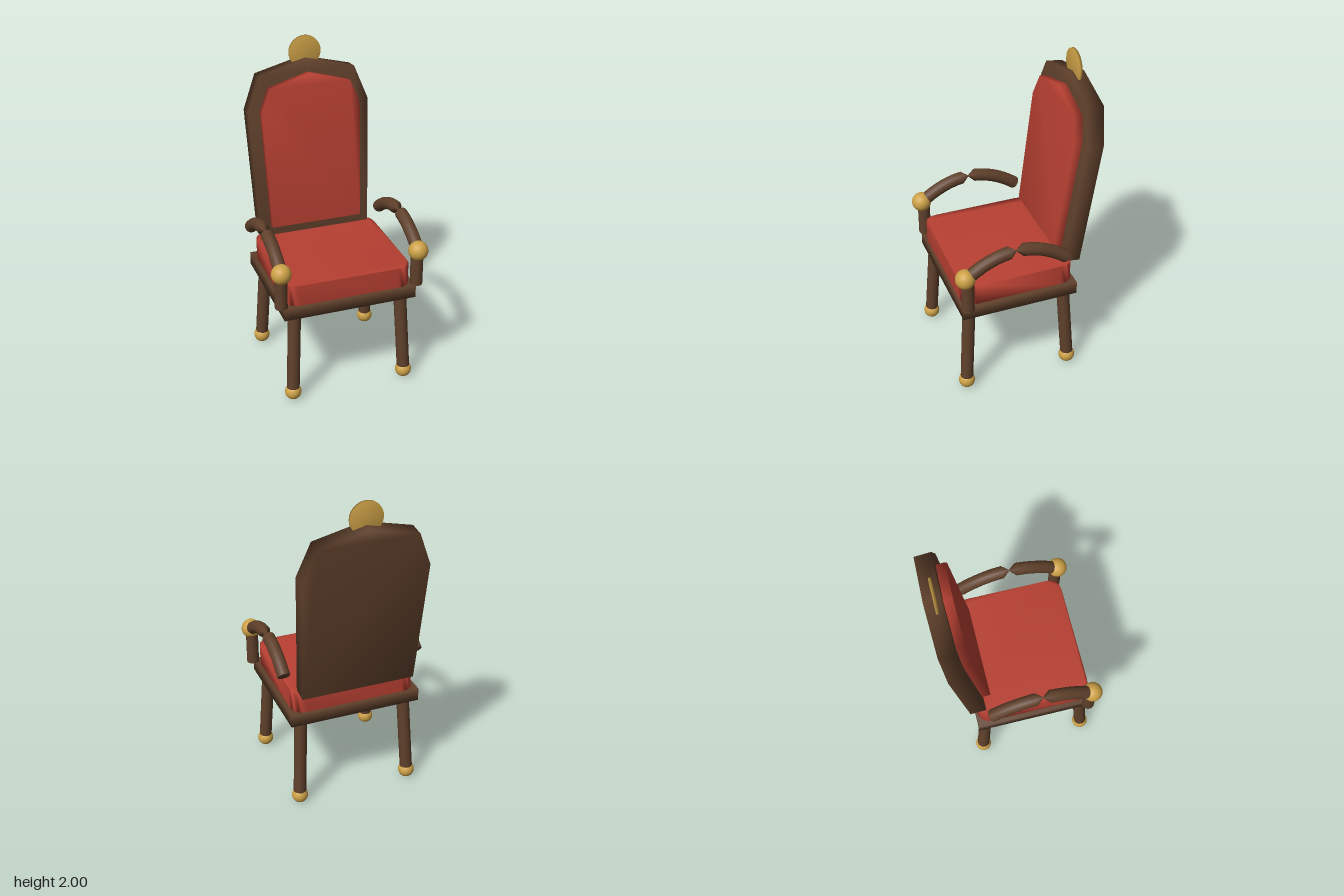
import * as THREE from 'three';
import { mergeVertices } from 'three/addons/utils/BufferGeometryUtils.js';

const wood = new THREE.MeshStandardMaterial({ color: 0x5f402b });
const red = new THREE.MeshStandardMaterial({ color: 0xb84032 });
const gold = new THREE.MeshStandardMaterial({ color: 0xcda147 });

// Shares vertices so the shading runs softly over every edge
function soften(geometry) {
  geometry.deleteAttribute('uv');
  geometry.deleteAttribute('normal');
  const merged = mergeVertices(geometry, 1e-4);
  merged.computeVertexNormals();
  return merged;
}

function add(parent, name, geometry, material, x = 0, y = 0, z = 0) {
  const mesh = new THREE.Mesh(geometry, material);
  mesh.name = name;
  mesh.position.set(x, y, z);
  parent.add(mesh);
  return mesh;
}

// Round bar between two points
function bar(parent, name, a, b, radius) {
  const dir = b.clone().sub(a);
  const mesh = add(parent, name, new THREE.CylinderGeometry(radius, radius, dir.length(), 16), wood);
  mesh.position.copy(a).add(b).multiplyScalar(0.5);
  mesh.quaternion.setFromUnitVectors(new THREE.Vector3(0, 1, 0), dir.normalize());
}

// Symmetric slab from half an outline, listed from bottom to apex
function slab(half, depth) {
  const left = half.filter(([x]) => x > 0).reverse().map(([x, y]) => [-x, y]);
  const shape = new THREE.Shape([...half, ...left].map(([x, y]) => new THREE.Vector2(x, y)));
  return soften(new THREE.ExtrudeGeometry(shape, { depth, bevelEnabled: false }));
}

// Seat pad with rounded corners, lying flat
function padGeometry(w, d, r, height) {
  const s = new THREE.Shape();
  s.moveTo(-w + r, -d);
  s.lineTo(w - r, -d).quadraticCurveTo(w, -d, w, -d + r);
  s.lineTo(w, d - r).quadraticCurveTo(w, d, w - r, d);
  s.lineTo(-w + r, d).quadraticCurveTo(-w, d, -w, d - r);
  s.lineTo(-w, -d + r).quadraticCurveTo(-w, -d, -w + r, -d);
  const g = new THREE.ExtrudeGeometry(s, { depth: height, bevelEnabled: false, curveSegments: 5 });
  return soften(g.rotateX(-Math.PI / 2));
}

// Curved armrest, pinched to a narrow waist at its middle
function armrest(parent, x) {
  const curve = new THREE.QuadraticBezierCurve3(
    new THREE.Vector3(x, 0.88, 0.415), new THREE.Vector3(x, 1.13, 0.1), new THREE.Vector3(x, 0.885, -0.21));
  const segments = 16, sides = 16, waist = segments / 2;
  const g = new THREE.TubeGeometry(curve, segments, 0.039, sides);
  const p = g.attributes.position, v = new THREE.Vector3(), c = curve.getPointAt(0.5);
  for (let i = waist * (sides + 1); i < (waist + 1) * (sides + 1); i++) {
    v.fromBufferAttribute(p, i).lerp(c, 0.9);
    p.setXYZ(i, v.x, v.y, v.z);
  }
  add(parent, 'armrest', g, wood);
  const end = curve.getPointAt(1);
  const cap = add(parent, 'armrestEnd', new THREE.CircleGeometry(0.039, sides), wood, end.x, end.y, end.z);
  cap.quaternion.setFromUnitVectors(new THREE.Vector3(0, 0, 1), curve.getTangentAt(1));
}

export function createModel() {
  const chair = new THREE.Group();
  chair.name = 'armchair';
  const midZ = 0.0675;

  // Seat
  add(chair, 'seatFrame', soften(new THREE.BoxGeometry(0.825, 0.08, 0.725)), wood, 0, 0.615, midZ);
  add(chair, 'seatCushion', padGeometry(0.39, 0.352, 0.085, 0.135), red, 0, 0.65, midZ);

  // Splayed legs with ball feet
  for (const sx of [-1, 1]) {
    for (const sz of [-1, 1]) {
      const leg = new THREE.Group();
      leg.name = sz > 0 ? 'frontLeg' : 'backLeg';
      bar(leg, 'legPost', new THREE.Vector3(sx * 0.36, 0.06, midZ + sz * 0.335),
        new THREE.Vector3(sx * 0.334, 0.59, midZ + sz * 0.302), 0.039);
      add(leg, 'foot', new THREE.SphereGeometry(0.05, 20, 14), gold, sx * 0.36, 0.05, midZ + sz * 0.335);
      chair.add(leg);
    }

    // Arm with its post and ball
    const arm = new THREE.Group();
    arm.name = sx > 0 ? 'leftArm' : 'rightArm';
    const x = sx * 0.424;
    bar(arm, 'armPost', new THREE.Vector3(x, 0.655, 0.403), new THREE.Vector3(x, 0.885, 0.403), 0.038);
    add(arm, 'armBall', new THREE.SphereGeometry(0.06, 24, 16), gold, x, 0.885, 0.417);
    armrest(arm, x);
    chair.add(arm);
  }

  // Leaning back: local origin at the lower front edge of the frame
  const back = new THREE.Group();
  back.name = 'back';
  back.position.set(0, 0.79, -0.232);
  back.rotation.x = -0.132;
  add(back, 'backFrame', slab([[0.354, 0], [0.384, 0.797], [0.302, 1.01], [0, 1.086]], 0.1), wood, 0, 0, -0.1);
  add(back, 'backCushion', slab([[0.287, 0.064], [0.312, 0.795], [0.254, 0.936], [0, 1.006]], 0.07), red, 0, 0, -0.018);
  chair.add(back);

  // Upright disc on the crest
  const disc = soften(new THREE.CylinderGeometry(0.1, 0.1, 0.015, 32).rotateX(Math.PI / 2));
  add(chair, 'crestDisc', disc, gold, 0, 1.9, -0.411);
  return chair;
}
